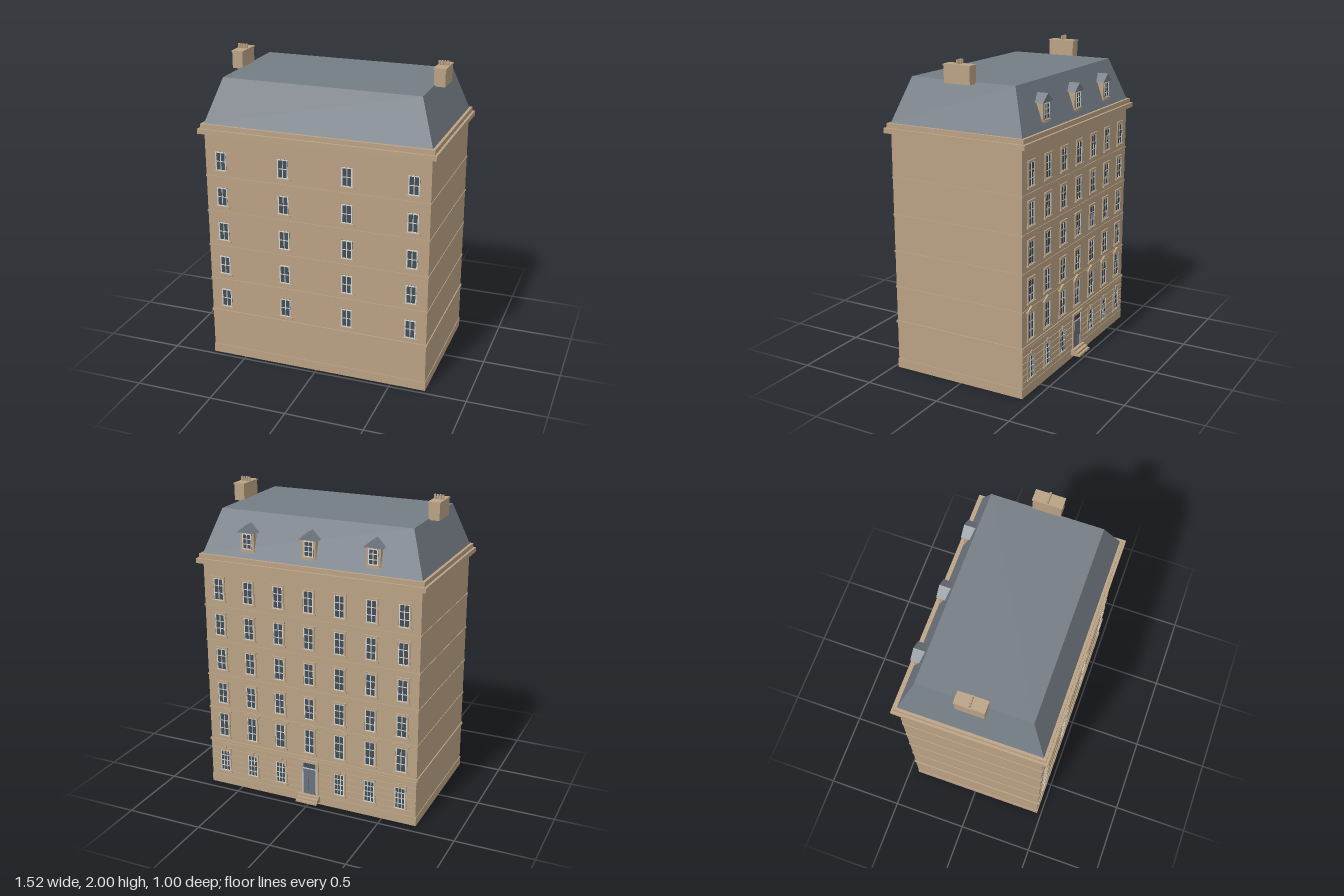
import * as THREE from 'three';

const mat = (name, color) => Object.assign(new THREE.MeshStandardMaterial({ color }), { name });
const stone = mat('stone', 0xbaa284);
const slate = mat('slate', 0x747c85);
const glass = mat('glass', 0x434c57);
const frame = mat('frame', 0xd3d5cf);
const doorPaint = mat('doorPaint', 0x66717e);

const CZ = 0.018;           // centre of the block in z
const HX = 0.725, HZ = 0.45; // half width and half depth
const FLOOR = 0.236, COL = 0.207;

function add(parent, name, geometry, material, x = 0, y = 0, z = 0) {
  const m = new THREE.Mesh(geometry, material);
  m.name = name;
  m.position.set(x, y, z);
  parent.add(m);
  return m;
}

// Box given by its centre x, bottom y and back z
function box(parent, name, material, w, h, d, x = 0, y = 0, z = 0) {
  return add(parent, name, new THREE.BoxGeometry(w, h, d), material, x, y + h / 2, z + d / 2);
}

// Slab running round the whole block, projecting by o
function ring(parent, name, y, h, o) {
  return box(parent, name, stone, 2 * (HX + o), h, 2 * (HZ + o), 0, y, CZ - HZ - o);
}

function prism(w, h, d) {
  const s = new THREE.Shape([[-w / 2, 0], [w / 2, 0], [0, h]].map(p => new THREE.Vector2(...p)));
  return new THREE.ExtrudeGeometry(s, { depth: d, bevelEnabled: false });
}

// Flat rectangular border with an open middle
function border(w, h, t, d) {
  const rect = (C, a, b, y) => new C().moveTo(-a, y).lineTo(a, y).lineTo(a, b).lineTo(-a, b).closePath();
  const s = rect(THREE.Shape, w / 2, h, 0);
  s.holes.push(rect(THREE.Path, w / 2 - t, h - t, t));
  return new THREE.ExtrudeGeometry(s, { depth: d, bevelEnabled: false });
}

// Sash window facing +z, its bottom at y = 0
function sash(w, h, cols, rows, t = 0.007) {
  const g = new THREE.Group();
  g.name = 'window';
  box(g, 'windowGlass', glass, w, h, 0.002);
  add(g, 'windowFrame', border(w, h, t, 0.005), frame);
  for (let i = 1; i < cols; i++) box(g, 'glazingBar', frame, 0.005, h - t, 0.004, -w / 2 + w * i / cols, t / 2);
  for (let j = 1; j < rows; j++) box(g, 'glazingBar', frame, w - t, 0.005, 0.004, 0, h * j / rows - 0.0025);
  return g;
}

function place(parent, g, x, y, z) {
  g.position.set(x, y, z);
  parent.add(g);
}

function buildShell(model) {
  ring(model, 'walls', 0, 1.54, 0);
  ring(model, 'plinth', 0, 0.06, 0.004);
  for (let i = 0; i < 5; i++) ring(model, 'stringCourse', 0.308 + FLOOR * i, i ? 0.01 : 0.016, i ? 0.004 : 0.007);
  ring(model, 'lowerCornice', 1.535, 0.031, 0.033);
  ring(model, 'upperCornice', 1.566, 0.029, 0.018);

  // Mansard roof: a box whose top corners are drawn inwards
  const geo = new THREE.BoxGeometry(2 * HX, 0.275, 2 * HZ);
  const p = geo.attributes.position;
  for (let i = 0; i < p.count; i++) {
    if (p.getY(i) > 0) {
      p.setX(i, p.getX(i) - Math.sign(p.getX(i)) * 0.095);
      p.setZ(i, p.getZ(i) - Math.sign(p.getZ(i)) * 0.097);
    }
  }
  geo.computeVertexNormals();
  add(model, 'mansardRoof', geo, slate, 0, 1.595 + 0.1375, CZ);
}

function buildChimney(model, side) {
  const g = new THREE.Group();
  g.name = 'chimney';
  box(g, 'chimneyStack', stone, 0.07, 0.105, 0.176, 0, 1.86, -0.088);
  box(g, 'chimneyCap', stone, 0.077, 0.01, 0.186, 0, 1.962, -0.093);
  for (let i = 0; i < 4; i++) {
    add(g, 'chimneyPot', new THREE.CylinderGeometry(0.007, 0.008, 0.03, 8), stone, -0.026 + i * 0.0173, 1.985, 0);
  }
  place(model, g, side * 0.657, 0, 0.016);
}

function buildFront(model) {
  for (const x of [-3, -1, 1, 3]) {
    for (let r = 0; r < 5; r++) {
      const w = sash(0.07, 0.124, 2, 2);
      box(w, 'windowSill', stone, 0.1, 0.01, 0.009, 0, -0.01);
      place(model, w, x * COL, 0.355 + FLOOR * r, CZ + HZ);
    }
  }
}

// Street side, built facing +z and then turned round
function buildStreetSide(model) {
  const g = new THREE.Group();
  g.name = 'streetSide';
  g.rotation.y = Math.PI;
  g.position.z = CZ - HZ;
  model.add(g);

  // Rusticated ground floor
  for (let i = 0; i < 6; i++) box(g, 'rusticCourse', stone, 2 * HX, 0.035, 0.004, 0, 0.063 + i * 0.041);

  for (let c = -3; c <= 3; c++) {
    for (let r = 0; r < 5; r++) {
      const h = r ? 0.145 : 0.165;
      const w = sash(0.068, h, 2, 3, 0.006);
      for (const s of [-1, 1]) box(w, 'windowJamb', stone, 0.01, h, 0.007, s * 0.039);
      box(w, 'windowLintel', stone, 0.092, 0.012, 0.009, 0, h);
      box(w, 'windowSill', stone, 0.1, 0.01, 0.012, 0, -0.01);
      if (r === 0) {
        box(w, 'pedimentBase', stone, 0.115, 0.008, 0.016, 0, h + 0.012);
        add(w, 'pediment', prism(0.115, 0.024, 0.014), stone, 0, h + 0.02);
      }
      place(g, w, c * COL, 0.355 + FLOOR * r, 0);
    }
    if (c === 0) continue;
    const w = sash(0.07, 0.15, 3, 4, 0.006);
    for (const s of [-1, 1]) box(w, 'windowJamb', stone, 0.009, 0.15, 0.005, s * 0.039);
    box(w, 'windowLintel', stone, 0.088, 0.016, 0.005, 0, 0.15);
    box(w, 'keystone', stone, 0.02, 0.03, 0.009, 0, 0.147);
    box(w, 'windowSill', stone, 0.1, 0.01, 0.009, 0, -0.01);
    place(g, w, c * COL, 0.1, 0.004);
  }

  // Door with its panels, fanlight and surround
  const d = new THREE.Group();
  d.name = 'entrance';
  box(d, 'door', doorPaint, 0.09, 0.19, 0.004);
  for (const x of [-0.021, 0.021]) {
    for (let j = 0; j < 3; j++) box(d, 'doorPanel', doorPaint, 0.03, 0.045, 0.006, x, 0.015 + j * 0.058);
  }
  box(d, 'fanlight', glass, 0.09, 0.045, 0.003, 0, 0.19);
  box(d, 'transom', frame, 0.09, 0.006, 0.006, 0, 0.187);
  add(d, 'doorFrame', border(0.1, 0.235, 0.006, 0.006), frame);
  for (const s of [-1, 1]) box(d, 'doorJamb', stone, 0.014, 0.235, 0.008, s * 0.057);
  box(d, 'doorLintel', stone, 0.132, 0.014, 0.011, 0, 0.235);
  place(g, d, 0, 0.055, 0.004);

  // Entrance steps
  [[0.068, 0.022], [0.052, 0.036], [0.03, 0.048]].forEach(([depth, y]) =>
    box(g, 'entranceStep', stone, 0.146, 0.014, depth, 0, y));

  // Dormers
  for (const x of [-0.415, 0, 0.415]) {
    const m = new THREE.Group();
    m.name = 'dormer';
    box(m, 'dormerBody', stone, 0.092, 0.13, 0.06, 0, 1.625, -0.072);
    add(m, 'dormerRoof', prism(0.126, 0.052, 0.072), slate, 0, 1.753, -0.074);
    const w = sash(0.062, 0.098, 2, 3, 0.006);
    box(w, 'windowSill', stone, 0.085, 0.008, 0.009, 0, -0.008);
    place(m, w, 0, 1.65, -0.012);
    place(g, m, x, 0, 0);
  }
}

export function createModel() {
  const model = new THREE.Group();
  model.name = 'townhouse';
  buildShell(model);
  for (const side of [-1, 1]) buildChimney(model, side);
  buildFront(model);
  buildStreetSide(model);
  return model;
}
